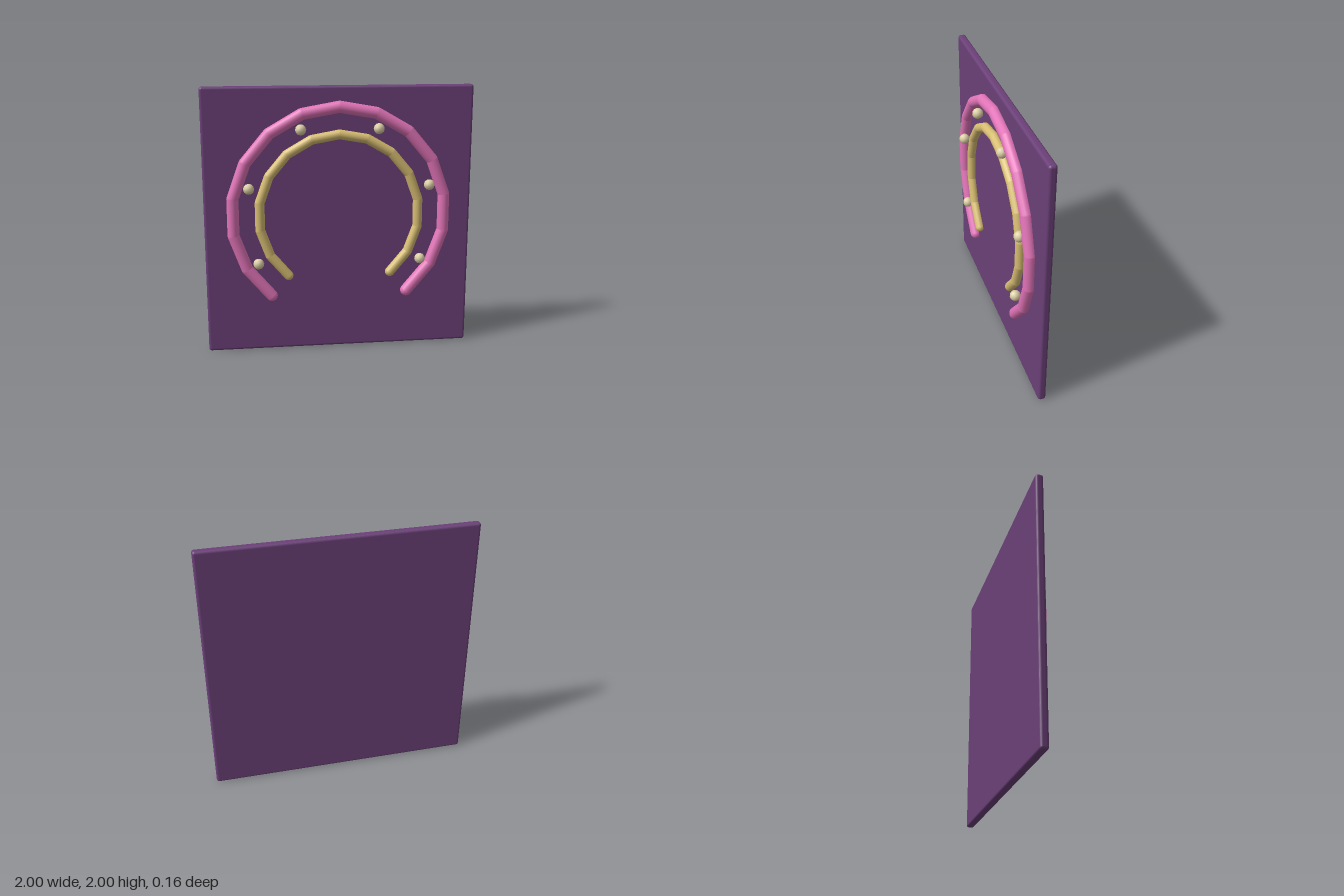
import * as THREE from 'three';
import { RoundedBoxGeometry } from 'three/addons/geometries/RoundedBoxGeometry.js';

const paint = (name, color) => {
  const m = new THREE.MeshStandardMaterial({ color });
  m.name = name;
  return m;
};

const CENTER_Y = 1.05;
const TUBE_Z = 0.002;

// Point on a circle, measured in degrees clockwise from the top
const onCircle = (radius, degrees, z) => {
  const a = THREE.MathUtils.degToRad(degrees);
  return new THREE.Vector3(radius * Math.sin(a), CENTER_Y + radius * Math.cos(a), z);
};

// Open ring made of straight round-ended tubes, 20 degrees each
function tubeArc(name, radius, thickness, material) {
  const arc = new THREE.Group();
  arc.name = name;
  const length = 2 * radius * Math.sin(THREE.MathUtils.degToRad(10));
  const geometry = new THREE.CapsuleGeometry(thickness, length, 4, 16);
  for (let i = 0; i < 14; i++) {
    const middle = -130 + i * 20;
    const tube = new THREE.Mesh(geometry, material);
    tube.name = name + 'Segment';
    tube.position.copy(onCircle(radius * Math.cos(Math.PI / 18), middle, TUBE_Z));
    tube.rotation.z = Math.PI / 2 - THREE.MathUtils.degToRad(middle);
    arc.add(tube);
  }
  return arc;
}

export function createModel() {
  const purple = paint('panel purple', 0x6b4078);
  const pink = paint('tube pink', 0xe274b8);
  const gold = paint('tube gold', 0xd8be72);
  const cream = paint('bulb cream', 0xdccfa4);

  const model = new THREE.Group();
  model.name = 'horseshoeSign';

  // Back panel with softened edges
  const panel = new THREE.Mesh(new RoundedBoxGeometry(2, 2, 0.059, 3, 0.02), purple);
  panel.name = 'backPanel';
  panel.position.set(0, 1, -0.0475);
  model.add(panel);

  // Two concentric horseshoe arcs
  model.add(tubeArc('outerArc', 0.8, 0.044, pink));
  model.add(tubeArc('innerArc', 0.6, 0.036, gold));

  // Small bulbs between the arcs
  const bulbGeometry = new THREE.IcosahedronGeometry(0.041, 1);
  for (const side of [-1, 1]) {
    for (const angle of [24, 72, 120]) {
      const bulb = new THREE.Mesh(bulbGeometry, cream);
      bulb.name = side > 0 ? 'leftBulb' : 'rightBulb';
      bulb.position.copy(onCircle(0.703, side * angle, 0.037));
      model.add(bulb);
    }
  }
  return model;
}
